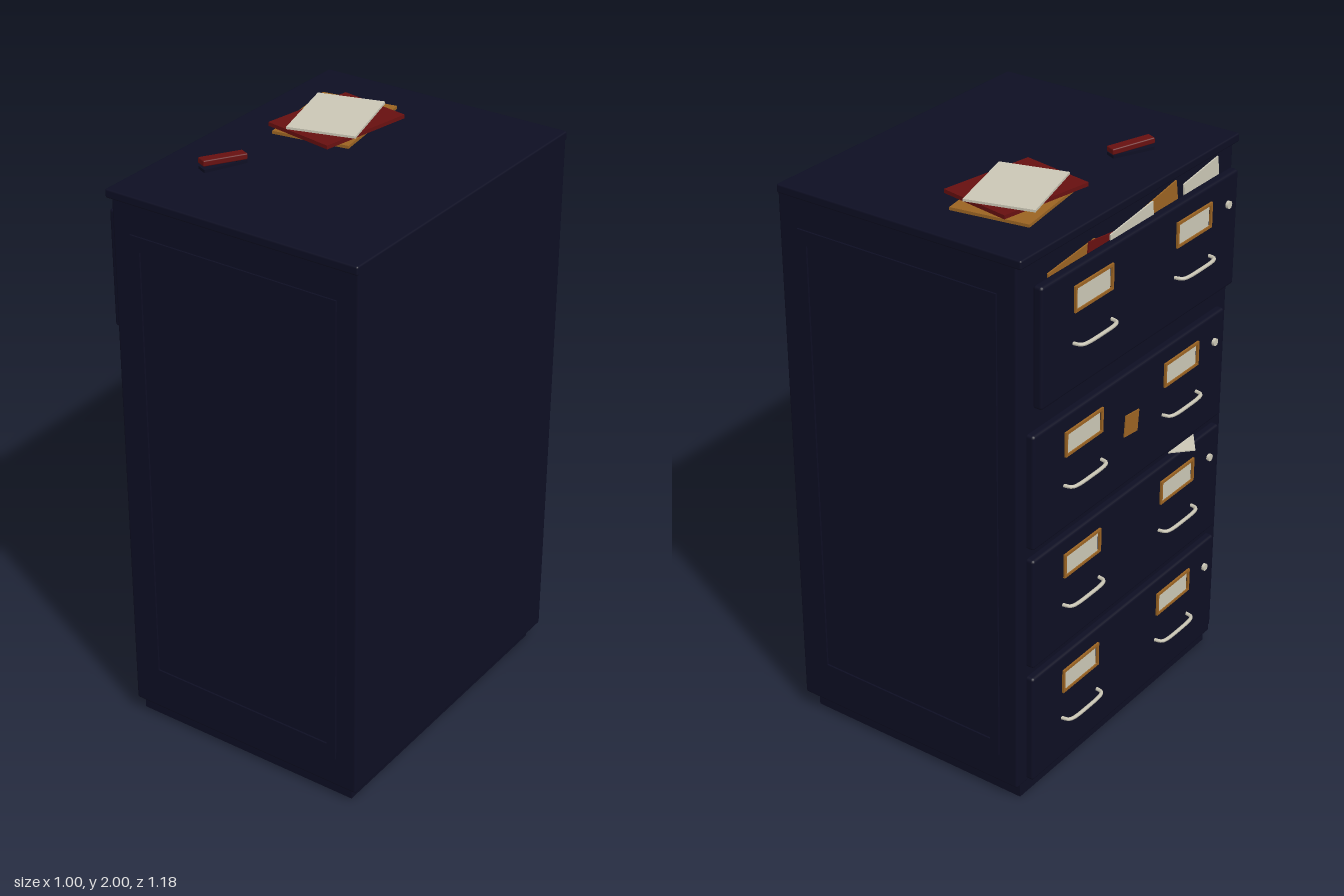
import * as THREE from 'three';
import { RoundedBoxGeometry } from 'three/addons/geometries/RoundedBoxGeometry.js';

const mat = (name, color, side = THREE.FrontSide) => {
  const m = new THREE.MeshStandardMaterial({ color, side });
  m.name = name;
  return m;
};

export function createModel() {
  const navy = mat('navy paint', 0x0d0e23);
  const red = mat('dark red', 0x671010);
  const manila = mat('manila', 0x9a6322);
  const paper = mat('off white', 0xcac6b5, THREE.DoubleSide);
  const root = new THREE.Group();
  root.name = 'filingCabinet';

  const add = (parent, name, geo, material, x, y, z) => {
    const m = new THREE.Mesh(geo, material);
    m.name = name;
    m.position.set(x, y, z);
    parent.add(m);
    return m;
  };
  const box = (parent, name, material, w, h, d, x, y, z) =>
    add(parent, name, new THREE.BoxGeometry(w, h, d), material, x, y, z);
  const rounded = (parent, name, material, w, h, d, x, y, z, r) =>
    add(parent, name, new RoundedBoxGeometry(w, h, d, 2, r), material, x, y, z);

  // Carcass: recessed plinth, body and overhanging top
  box(root, 'plinth', navy, 0.86, 0.07, 1.11, 0.03, 0.035, 0);
  rounded(root, 'body', navy, 0.905, 1.89, 1.17, 0.0425, 1.0, 0, 0.008);
  rounded(root, 'topPanel', navy, 0.925, 0.03, 1.18, 0.0325, 1.944, 0, 0.006);

  // Raised rectangular trim on both long sides
  const rect = (T, hw, hh) => new T([
    new THREE.Vector2(-hw, -hh), new THREE.Vector2(hw, -hh),
    new THREE.Vector2(hw, hh), new THREE.Vector2(-hw, hh),
  ]);
  const trim = rect(THREE.Shape, 0.38, 0.832);
  trim.holes.push(rect(THREE.Path, 0.345, 0.782));
  const trimGeo = new THREE.ExtrudeGeometry(trim, { depth: 0.008, bevelEnabled: false });
  for (const s of [-1, 1]) {
    const m = add(root, 'sideTrim', trimGeo, navy, 0.04, 0.998, s * 0.583);
    if (s < 0) m.rotation.y = Math.PI;
  }

  // Bowed pull handle, ends meeting the drawer face at x = 0
  const handleGeo = new THREE.TubeGeometry(new THREE.CatmullRomCurve3([
    [0.004, -0.1], [-0.022, -0.094], [-0.03, -0.08], [-0.034, 0],
    [-0.03, 0.08], [-0.022, 0.094], [0.004, 0.1],
  ].map(([x, z]) => new THREE.Vector3(x, 0, z))), 28, 0.0065, 6);
  const lockGeo = new THREE.CylinderGeometry(0.013, 0.013, 0.012, 14);
  lockGeo.rotateZ(Math.PI / 2);

  // Four drawers on the -x side, the top one pulled slightly open
  [[0.27, 0], [0.715, 0], [1.157, 0], [1.66, 0.028]].forEach(([y, open]) => {
    const drawer = new THREE.Group();
    drawer.name = 'drawer';
    drawer.position.set(-0.437 - open, y, 0);
    root.add(drawer);
    rounded(drawer, 'drawerFront', navy, 0.035, 0.405, 1.07, 0.0175, 0, 0, 0.01);
    if (open) box(drawer, 'drawerBox', navy, 0.05, 0.34, 1.0, 0.05, 0.0, 0);
    add(drawer, 'lock', lockGeo, paper, -0.004, 0.1, 0.475);
    for (const s of [-1, 1]) {
      const z = s * 0.275;
      add(drawer, 'handle', handleGeo, paper, 0, -0.042, z);
      // Label holder: a card inside a thin frame
      box(drawer, 'labelCard', paper, 0.004, 0.07, 0.17, -0.001, 0.103, z);
      for (const t of [-1, 1]) {
        box(drawer, 'labelFrame', manila, 0.008, 0.009, 0.2, -0.003, 0.103 + t * 0.039, z);
        box(drawer, 'labelFrame', manila, 0.008, 0.087, 0.009, -0.003, 0.103, z + t * 0.0955);
      }
    }
  });

  // Files poking out above the open drawer
  [
    [manila, -0.33, 1.815, 0.24, 0.1, -0.427],
    [red, -0.17, 1.82, 0.19, -0.12, -0.433],
    [paper, -0.03, 1.83, 0.23, 0.12, -0.438],
    [manila, 0.14, 1.84, 0.2, 0.16, -0.424],
    [paper, 0.37, 1.845, 0.2, 0.14, -0.43],
  ].forEach(([m, z, y, w, tilt, x]) => {
    box(root, 'looseFile', m, 0.005, 0.13, w, x, y, z).rotation.x = -tilt;
  });

  // Sticky note, and a sheet corner caught above the second drawer
  box(root, 'stickyNote', manila, 0.004, 0.075, 0.075, -0.439, 1.17, -0.01).rotation.x = 0.1;
  const corner = new THREE.ExtrudeGeometry(new THREE.Shape([
    new THREE.Vector2(-0.4, 0.25), new THREE.Vector2(-0.4, 0.43), new THREE.Vector2(-0.473, 0.33),
  ]), { depth: 0.004, bevelEnabled: false });
  corner.rotateX(Math.PI / 2);
  add(root, 'caughtSheet', corner, paper, 0, 0.924, 0);

  // Folders and paper stacked on top
  [
    ['lowerFolder', manila, 0.269, 0.01, 0.36, -0.155, 1.964, -0.233, 0.15],
    ['upperFolder', red, 0.265, 0.013, 0.35, -0.134, 1.9755, -0.21, -0.175],
    ['paperStack', paper, 0.231, 0.008, 0.3, -0.144, 1.986, -0.222, 0.274],
  ].forEach(([name, m, w, h, d, x, y, z, turn]) => {
    box(root, name, m, w, h, d, x, y, z).rotation.y = turn;
  });

  // Stapler
  const stapler = new THREE.Group();
  stapler.name = 'stapler';
  stapler.position.set(-0.238, 1.959, 0.252);
  stapler.rotation.y = -0.425;
  root.add(stapler);
  box(stapler, 'staplerBase', navy, 0.038, 0.01, 0.15, 0, 0.005, 0);
  box(stapler, 'staplerHinge', navy, 0.03, 0.02, 0.03, 0, 0.014, -0.055);
  rounded(stapler, 'staplerArm', red, 0.038, 0.02, 0.155, 0, 0.026, 0, 0.004).rotation.x = -0.06;

  return root;
}
